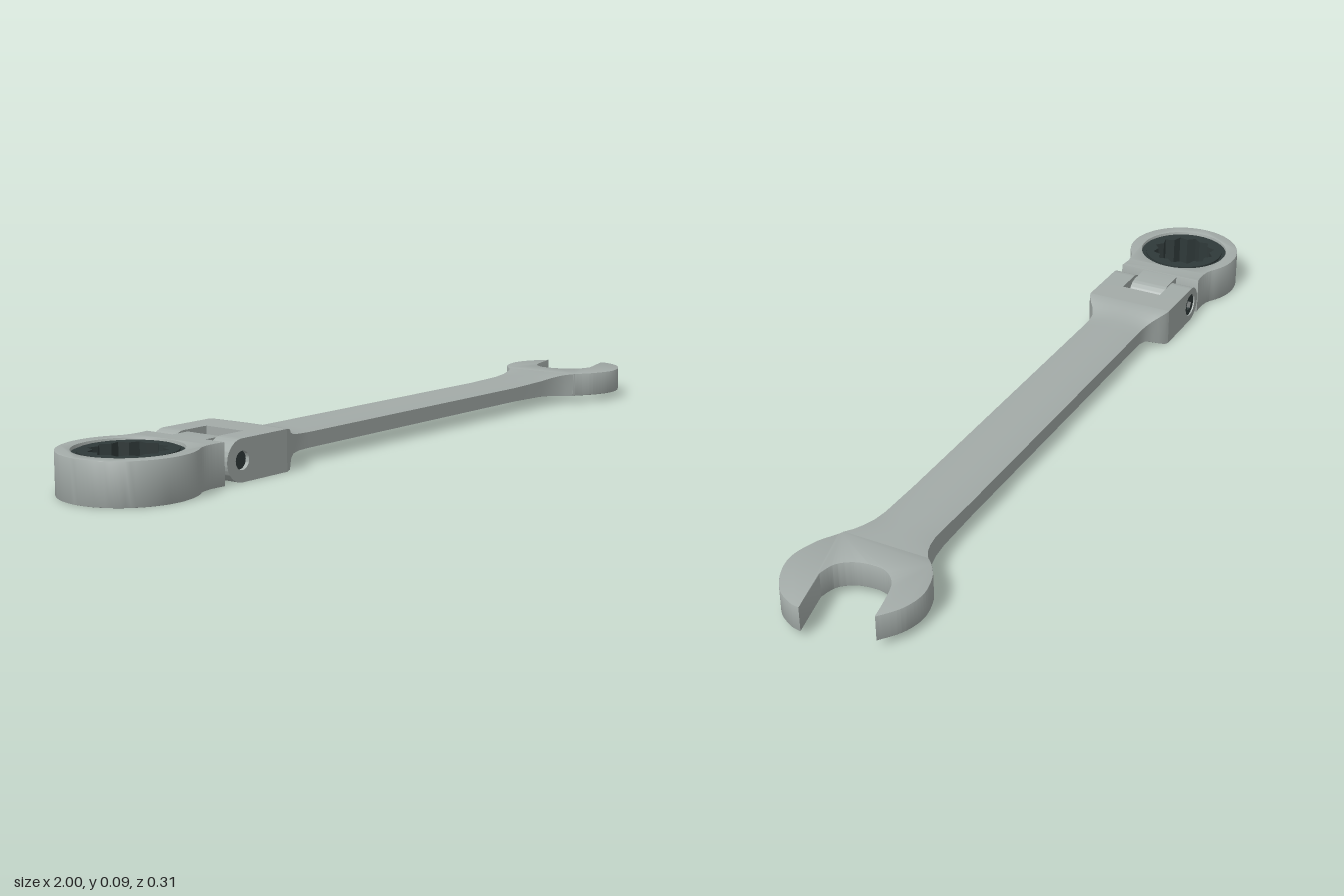
import * as THREE from 'three';
import { toCreasedNormals } from 'three/addons/utils/BufferGeometryUtils.js';

const steel = new THREE.MeshStandardMaterial({ color: 0xa3aba8 });
const dark = new THREE.MeshStandardMaterial({ color: 0x2f3939 });
const V = (x, y) => new THREE.Vector2(x, y);

function mesh(name, geometry, material = steel) {
  const m = new THREE.Mesh(geometry, material);
  m.name = name;
  return m;
}

function extrude(shape, depth, bevel) {
  const g = new THREE.ExtrudeGeometry(shape, {
    depth: depth - 2 * bevel, curveSegments: 32, bevelEnabled: bevel > 0,
    bevelSize: bevel, bevelOffset: -bevel, bevelThickness: bevel, bevelSegments: 2,
  });
  g.translate(0, 0, bevel);
  return toCreasedNormals(g, 0.5);
}

// Flat plate: shape is drawn in (x, z), lying between heights y0 and y1
function plate(shape, y0, y1, bevel = 0) {
  return extrude(shape, y1 - y0, bevel).rotateX(Math.PI / 2).translate(0, y1, 0);
}

// Side profile: shape is drawn in (x, y), lying between depths z0 and z1
function slab(shape, z0, z1, bevel = 0) {
  return extrude(shape, z1 - z0, bevel).translate(0, 0, z0);
}

function circle(x, y, r) {
  return new THREE.Path().absarc(x, y, r, 0, Math.PI * 2, true);
}

function ring(x, y, outer, hole) {
  const s = new THREE.Shape().absarc(x, y, outer, 0, Math.PI * 2, false);
  s.holes.push(hole);
  return s;
}

// Closed path with points alternating between two radii
function starPath(x, y, count, r0, r1) {
  const pts = [];
  for (let i = 0; i < count * 2; i++) {
    const a = -i * Math.PI / count, r = i % 2 ? r1 : r0;
    pts.push(V(x + r * Math.cos(a), y + r * Math.sin(a)));
  }
  return new THREE.Path(pts);
}

// Shaft lofted through stations: x, half width, edge half height, crown half height, centre y
function shaftGeometry() {
  const stations = [
    [-0.485, 0.115, 0.0475, 0.0475, 0.0475], [-0.472, 0.111, 0.0455, 0.0465, 0.0475],
    [-0.455, 0.099, 0.038, 0.042, 0.0477], [-0.44, 0.087, 0.030, 0.037, 0.048],
    [-0.42, 0.077, 0.022, 0.0315, 0.0484], [-0.395, 0.073, 0.019, 0.029, 0.0485],
    [-0.36, 0.073, 0.018, 0.0285, 0.0485], [0.5, 0.073, 0.018, 0.0285, 0.0485],
    [0.62, 0.073, 0.021, 0.029, 0.0485], [0.66, 0.0755, 0.024, 0.0295, 0.0485],
    [0.69, 0.082, 0.027, 0.03, 0.0485], [0.715, 0.091, 0.029, 0.0303, 0.0485],
    [0.74, 0.107, 0.0303, 0.0303, 0.0485],
  ];
  const n = 16, ringSize = 2 * (n + 1), pos = [], idx = [];
  for (const [x, w, e, c, y] of stations) {
    for (const s of [1, -1]) {
      for (let j = 0; j <= n; j++) {
        const t = -1 + 2 * j / n;
        pos.push(x, y + s * (e + (c - e) * (1 - t * t)), s * t * w);
      }
    }
  }
  for (let i = 0; i < stations.length - 1; i++) {
    for (let j = 0; j < ringSize; j++) {
      const k = (j + 1) % ringSize;
      const a = i * ringSize + j, b = i * ringSize + k;
      idx.push(a, b, a + ringSize, b, b + ringSize, a + ringSize);
    }
  }
  const g = new THREE.BufferGeometry();
  g.setAttribute('position', new THREE.Float32BufferAttribute(pos, 3));
  g.setIndex(idx);
  return toCreasedNormals(g, 0.6);
}

// Open jaw, its mouth turned about 15 degrees
function jawShape() {
  const s = new THREE.Shape();
  s.moveTo(0.735, -0.104);
  s.splineThru([V(0.752, -0.122), V(0.79, -0.147), V(0.848, -0.16), V(0.905, -0.147), V(0.955, -0.112)]);
  s.lineTo(0.878, -0.094);
  s.splineThru([V(0.842, -0.08), V(0.816, -0.05), V(0.811, -0.015), V(0.82, 0.025), V(0.845, 0.056), V(0.885, 0.067)]);
  s.lineTo(1.0, 0.04);
  s.splineThru([V(0.994, 0.068), V(0.968, 0.108), V(0.915, 0.142), V(0.858, 0.154), V(0.795, 0.138), V(0.755, 0.115), V(0.735, 0.104)]);
  s.closePath();
  return s;
}

// Hinged knuckle profile: rounded about the pin, running straight to endX
function knuckle(r, endX, holeR) {
  const s = new THREE.Shape();
  const dir = endX > PIN.x;
  s.moveTo(PIN.x, PIN.y + (dir ? r : -r));
  s.absarc(PIN.x, PIN.y, r, dir ? Math.PI / 2 : -Math.PI / 2, dir ? Math.PI * 1.5 : Math.PI / 2, false);
  s.lineTo(endX, PIN.y + (dir ? -r : r));
  s.lineTo(endX, PIN.y + (dir ? r : -r));
  s.closePath();
  if (holeR) s.holes.push(circle(PIN.x, PIN.y, holeR));
  return s;
}

const PIN = V(-0.63, 0.0475);
const RX = -0.85;

export function createModel() {
  const model = new THREE.Group();
  model.name = 'flexHeadWrench';

  // Shaft and open end
  model.add(mesh('shaft', shaftGeometry()));
  model.add(mesh('openJaw', plate(jawShape(), 0.018, 0.079, 0.002)));

  // Fork holding the hinge
  const fork = new THREE.Group();
  fork.name = 'fork';
  fork.add(mesh('frontCheek', slab(knuckle(0.0475, -0.485, 0.021), 0.054, 0.115)));
  fork.add(mesh('backCheek', slab(knuckle(0.0475, -0.485, 0.03), -0.115, -0.054)));
  const base = new THREE.BoxGeometry(0.075, 0.095, 0.108);
  fork.add(mesh('forkBase', base.translate(-0.5225, 0.0475, 0)));
  model.add(fork);

  // Hinge pin, with a socketed screw head at the back
  const pin = new THREE.CylinderGeometry(0.021, 0.021, 0.195, 32).rotateX(Math.PI / 2);
  model.add(mesh('hingePin', pin.translate(PIN.x, PIN.y, 0.008), dark));
  const screw = ring(PIN.x, PIN.y, 0.03, starPath(PIN.x, PIN.y, 3, 0.016, 0.016));
  model.add(mesh('screwHead', slab(screw, -0.111, -0.085), dark));

  // Ring head with its neck and hinge tongue
  const head = new THREE.Group();
  head.name = 'ringHead';
  const a = THREE.MathUtils.degToRad(54);
  const body = new THREE.Shape();
  body.absarc(RX, 0, 0.15, a, Math.PI * 2 - a, false);
  body.quadraticCurveTo(-0.732, -0.106, -0.684, -0.114);
  body.lineTo(-0.684, 0.114);
  body.quadraticCurveTo(-0.732, 0.106, RX + 0.15 * Math.cos(a), 0.15 * Math.sin(a));
  body.holes.push(circle(RX, 0, 0.118));
  head.add(mesh('ringBody', plate(body, 0, 0.095, 0.002)));
  head.add(mesh('tongue', slab(knuckle(0.044, -0.69), -0.049, 0.049)));
  model.add(head);

  // Twelve-point ratchet insert, set in a sunken collar
  const insert = new THREE.Group();
  insert.name = 'ratchetInsert';
  insert.add(mesh('collar', plate(ring(RX, 0, 0.119, circle(RX, 0, 0.1)), 0.008, 0.087), dark));
  const drive = ring(RX, 0, 0.106, starPath(RX, 0, 12, 0.086, 0.072));
  insert.add(mesh('driveRing', plate(drive, 0.003, 0.092), dark));
  model.add(insert);

  return model;
}
